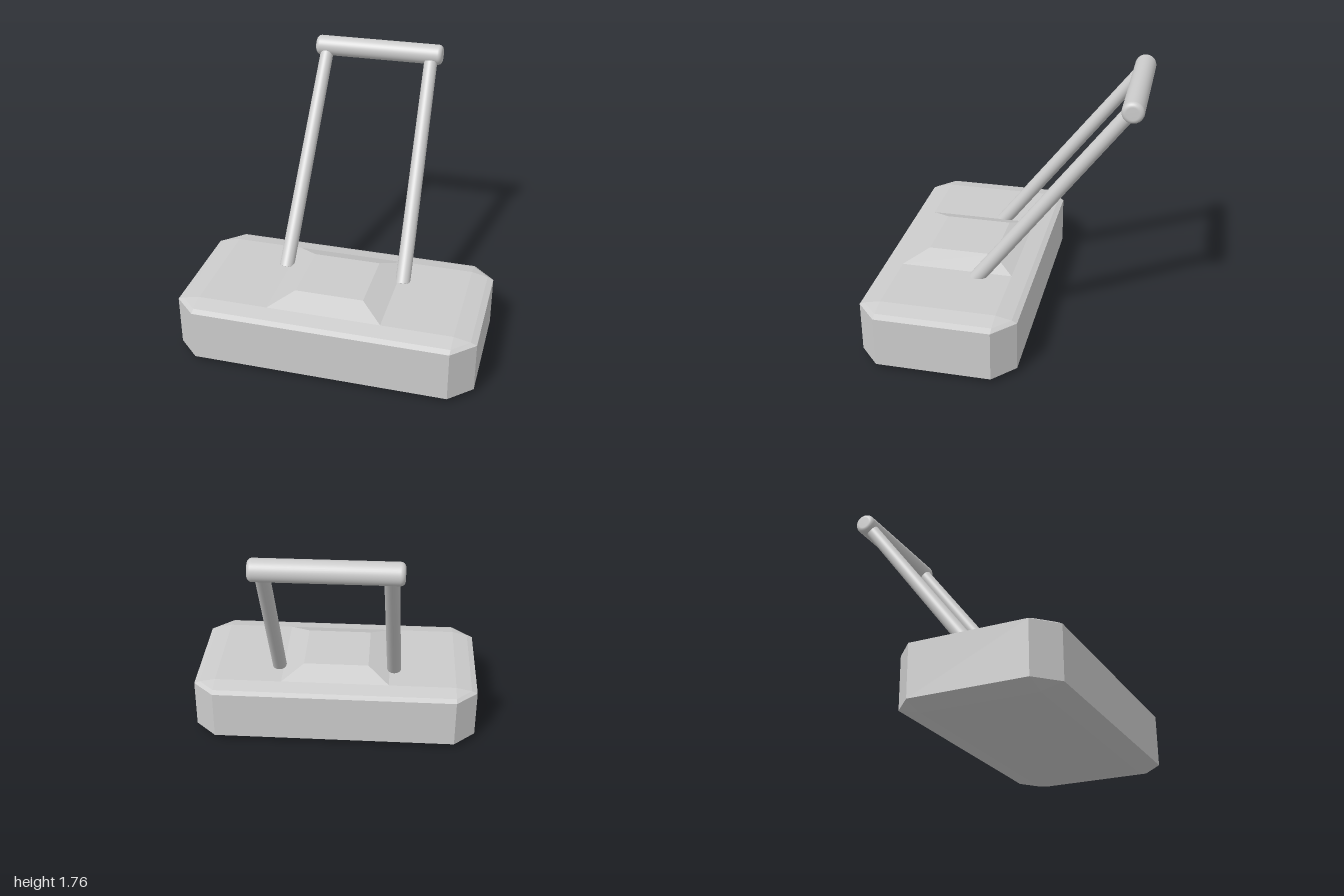
import * as THREE from 'three';

const grey = (flat) => new THREE.MeshStandardMaterial({ color: 0xcccccc, flatShading: flat });

// Rectangle with cut corners, counter-clockwise from above
function ring(y, hx, hz, ex = 0, ez = 0) {
  return [
    [-hx, hz + ez], [hx, hz + ez], [hx + ex, hz], [hx + ex, -hz],
    [hx, -hz - ez], [-hx, -hz - ez], [-hx - ex, -hz], [-hx - ex, hz],
  ].map(([x, z]) => new THREE.Vector3(x, y, z));
}

// Skin stacked rings (bottom to top) and close both ends
function loft(rings) {
  const pos = [];
  const tri = (a, b, c) => {
    const area = new THREE.Triangle(a, b, c).getArea();
    if (area > 1e-6) for (const p of [a, b, c]) pos.push(p.x, p.y, p.z);
  };
  for (let k = 0; k < rings.length - 1; k++) {
    const lo = rings[k], hi = rings[k + 1];
    for (let i = 0; i < 8; i++) {
      const j = (i + 1) % 8;
      tri(lo[i], lo[j], hi[j]);
      tri(lo[i], hi[j], hi[i]);
    }
  }
  const bottom = rings[0], top = rings[rings.length - 1];
  for (let i = 1; i < 7; i++) {
    tri(bottom[0], bottom[i + 1], bottom[i]);
    tri(top[0], top[i], top[i + 1]);
  }
  const geo = new THREE.BufferGeometry();
  geo.setAttribute('position', new THREE.Float32BufferAttribute(pos, 3));
  geo.computeVertexNormals();
  return geo;
}

// Place a y-aligned mesh so it runs from a to b
function span(mesh, a, b) {
  mesh.position.copy(a).lerp(b, 0.5);
  mesh.quaternion.setFromUnitVectors(new THREE.Vector3(0, 1, 0), b.clone().sub(a).normalize());
  return mesh;
}

export function createModel() {
  const group = new THREE.Group();
  const add = (name, mesh) => {
    mesh.name = name;
    group.add(mesh);
    return mesh;
  };

  // Bevelled block with cut corners
  const base = add('base', new THREE.Mesh(loft([
    ring(0, 0.85, 0.38),
    ring(0.035, 0.85, 0.38, 0.15, 0.14),
    ring(0.38, 0.85, 0.38, 0.15, 0.14),
    ring(0.397, 0.85, 0.38, 0.11, 0.105),
    ring(0.42, 0.85, 0.38),
  ]), grey(true)));

  // Low raised panel on top of the base
  const panel = add('raisedPanel', new THREE.Mesh(loft([
    ring(0.41, 0.38, 0.38),
    ring(0.42, 0.38, 0.38),
    ring(0.482, 0.23, 0.23),
  ]), grey(true)));
  base.position.z = panel.position.z = 0.34;

  // Two leaning arms, slightly closer together at the top
  for (const [name, side] of [['leftArm', 1], ['rightArm', -1]]) {
    const a = new THREE.Vector3(side * 0.413, 0.4, 0.195);
    const b = new THREE.Vector3(side * 0.377, 1.64, -0.75);
    const geo = new THREE.CylinderGeometry(0.046, 0.05, a.distanceTo(b), 32);
    add(name, span(new THREE.Mesh(geo, grey(false)), a, b));
  }

  // Grip bar with rounded ends
  const r = 0.07, half = 0.455, bevel = 0.03;
  const profile = [new THREE.Vector2(0, -half)];
  for (const end of [-1, 1]) {
    for (let i = 0; i <= 6; i++) {
      const t = (end < 0 ? i : 6 - i) / 6 * Math.PI / 2;
      profile.push(new THREE.Vector2(
        r - bevel + bevel * Math.sin(t),
        end * (half - bevel + bevel * Math.cos(t))));
    }
  }
  profile.push(new THREE.Vector2(0, half));
  const bar = new THREE.Mesh(new THREE.LatheGeometry(profile, 40), grey(false));
  add('gripBar', span(bar,
    new THREE.Vector3(-half, 1.684, -0.782), new THREE.Vector3(half, 1.686, -0.79)));

  return group;
}
